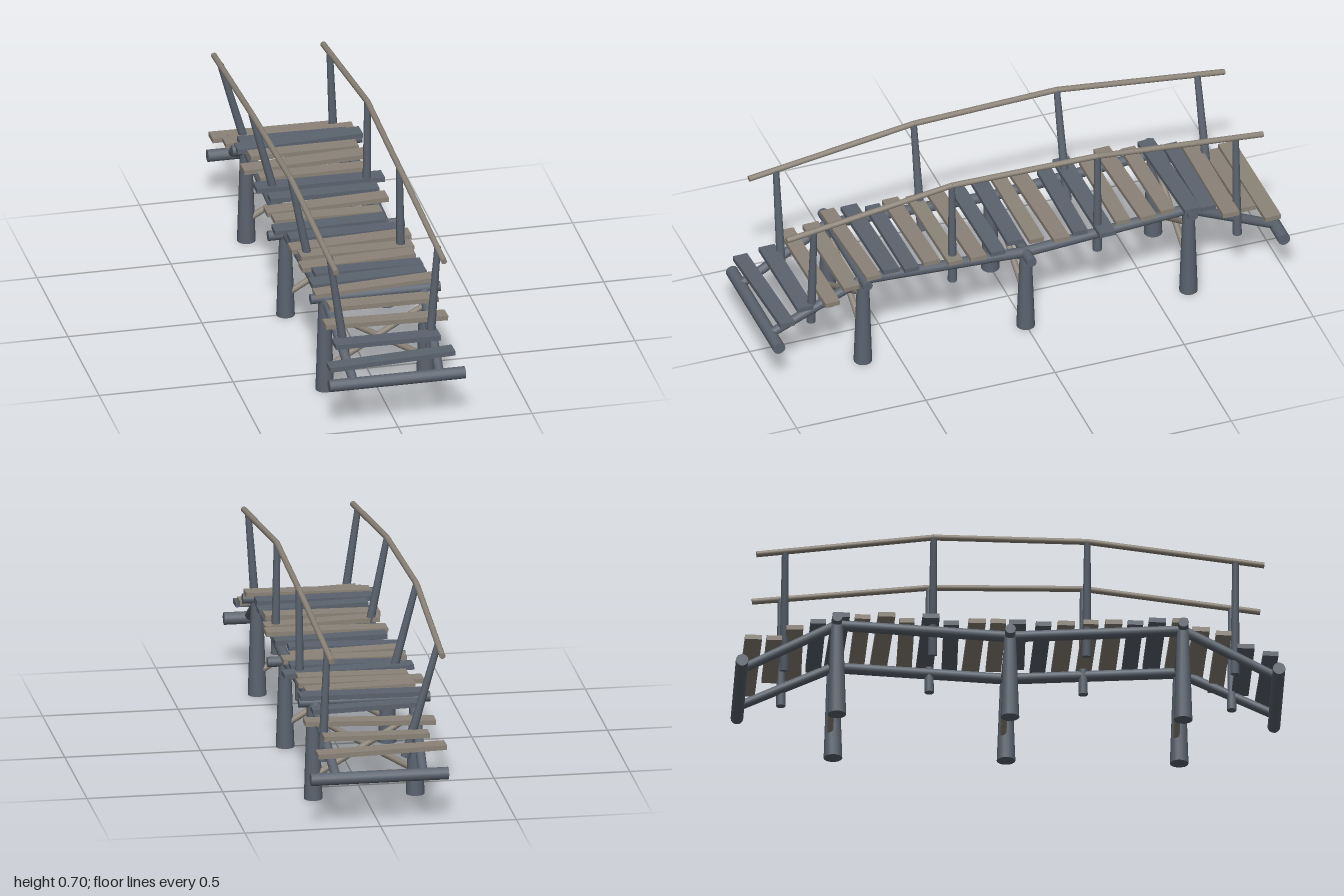
import * as THREE from 'three';

const dark = new THREE.MeshStandardMaterial({ color: 0x5b636e });
const brown = new THREE.MeshStandardMaterial({ color: 0x8b8378 });
const V = (x, y, z) => new THREE.Vector3(x, y, z);

// Round timber running from a to b, with its radius at each end
function log(name, a, b, ra, rb, material) {
  const dir = b.clone().sub(a);
  const mesh = new THREE.Mesh(new THREE.CylinderGeometry(rb, ra, dir.length(), 14), material);
  mesh.position.copy(a).add(b).multiplyScalar(0.5);
  mesh.quaternion.setFromUnitVectors(V(0, 1, 0), dir.normalize());
  mesh.name = name;
  return mesh;
}

// Linear interpolation along [z, y] pairs sorted by z
function heightAt(path, z) {
  let i = 0;
  while (i < path.length - 2 && z > path[i + 1][0]) i++;
  const [z0, y0] = path[i], [z1, y1] = path[i + 1];
  return y0 + ((y1 - y0) * (z - z0)) / (z1 - z0);
}

export function createModel() {
  const bridge = new THREE.Group();
  bridge.name = 'footbridge';

  // Three bents: tapered piles, a cap log and crossed braces
  for (const z of [-0.63, 0, 0.63]) {
    const bent = new THREE.Group();
    bent.name = 'bent';
    const capY = z === 0 ? 0.325 : 0.368;
    const half = z === 0 ? 0.254 : 0.242;
    bent.add(log('capLog', V(-half, capY, z), V(half, capY, z), 0.019, 0.019, dark));
    for (const s of [-1, 1]) {
      bent.add(log('pile', V(s * 0.188, 0, z), V(s * 0.189, capY, z), 0.034, 0.022, dark));
      bent.add(log('brace', V(-s * 0.17, 0.098, z + s * 0.011), V(s * 0.175, 0.3, z + s * 0.011), 0.012, 0.011, brown));
    }
    bridge.add(bent);
  }

  // Stringers on both sides: two deck spans and two ramps
  for (const s of [-1, 1]) {
    for (const e of [-1, 1]) {
      bridge.add(log('deckStringer', V(s * 0.182, 0.325, 0), V(s * 0.182, 0.36, e * 0.63), 0.02, 0.02, dark));
      bridge.add(log('rampStringer', V(s * 0.182, 0.36, e * 0.63), V(s * 0.16, 0.188, e * 0.977), 0.019, 0.017, dark));
    }
  }

  // Ground logs at the foot of each ramp
  for (const e of [-1, 1]) {
    bridge.add(log('groundLog', V(-0.253, 0.183, e * 0.977), V(0.254, 0.183, e * 0.977), 0.023, 0.023, dark));
  }

  // Planks: z, left end, right end, roll, yaw, brown or dark
  const planks = [
    [-0.94, -0.25, 0.225, -0.02, 0.02, 1], [-0.86, -0.2, 0.19, 0.02, 0.01, 1],
    [-0.78, -0.235, 0.245, 0.03, -0.02, 1], [-0.7, -0.2, 0.205, -0.02, 0.01, 0],
    [-0.622, -0.23, 0.24, 0.02, 0.03, 0], [-0.54, -0.2, 0.205, -0.01, 0.02, 1],
    [-0.457, -0.245, 0.22, 0.02, 0.03, 1], [-0.373, -0.2, 0.205, 0.01, -0.01, 1],
    [-0.293, -0.235, 0.245, -0.02, 0.02, 0], [-0.21, -0.2, 0.205, 0.01, -0.02, 0],
    [-0.125, -0.235, 0.22, 0.02, 0.02, 1], [-0.045, -0.225, 0.178, -0.02, 0.01, 1],
    [0.03, -0.24, 0.172, 0.02, -0.02, 0], [0.118, -0.205, 0.21, -0.01, 0.02, 0],
    [0.2, -0.22, 0.23, 0.02, 0.02, 1], [0.288, -0.205, 0.22, -0.02, 0.03, 1],
    [0.373, -0.22, 0.205, 0.02, 0.02, 1], [0.453, -0.19, 0.215, -0.02, 0.02, 0],
    [0.532, -0.22, 0.21, 0.01, 0.02, 0], [0.612, -0.225, 0.237, 0.03, 0.03, 1],
    [0.69, -0.19, 0.218, -0.025, 0.03, 1], [0.77, -0.225, 0.235, -0.04, 0.03, 1],
    [0.855, -0.207, 0.187, -0.02, 0.02, 0], [0.94, -0.248, 0.222, 0.025, 0.03, 0],
  ];
  const deckLine = [[-0.94, 0.272], [-0.69, 0.367], [-0.61, 0.39], [0, 0.362], [0.61, 0.39], [0.69, 0.36], [0.94, 0.25]];
  const deck = new THREE.Group();
  deck.name = 'planks';
  planks.forEach(([z, x0, x1, roll, yaw, isBrown], i) => {
    const plank = new THREE.Mesh(new THREE.BoxGeometry(x1 - x0, 0.018, i % 2 ? 0.056 : 0.062), isBrown ? brown : dark);
    plank.position.set((x0 + x1) / 2, heightAt(deckLine, z), z);
    plank.rotation.set(0, yaw, roll);
    plank.name = 'plank';
    deck.add(plank);
  });
  bridge.add(deck);

  // Leaning handrails: x of the post top and foot at each post, back to front
  const postZ = [-0.82, -0.28, 0.28, 0.82];
  const sides = [
    { name: 'rightRailing', top: [-0.24, -0.25, -0.233, -0.214], foot: [-0.12, -0.14, -0.15, -0.153] },
    { name: 'leftRailing', top: [0.168, 0.183, 0.172, 0.189], foot: [0.185, 0.18, 0.178, 0.158] },
  ];
  for (const { name, top, foot } of sides) {
    const railing = new THREE.Group();
    railing.name = name;
    const railPoints = postZ.map((z, i) => {
      const outer = Math.abs(z) > 0.5;
      railing.add(log('railPost', V(foot[i], outer ? 0.203 : 0.265, z), V(top[i], outer ? 0.625 : 0.685, z), 0.017, 0.012, dark));
      return outer ? V(top[i], 0.613, Math.sign(z) * 0.925) : V(top[i], 0.687, z);
    });
    for (let i = 0; i < 3; i++) {
      railing.add(log('handrail', railPoints[i], railPoints[i + 1], 0.011, 0.011, brown));
    }
    bridge.add(railing);
  }
  return bridge;
}
